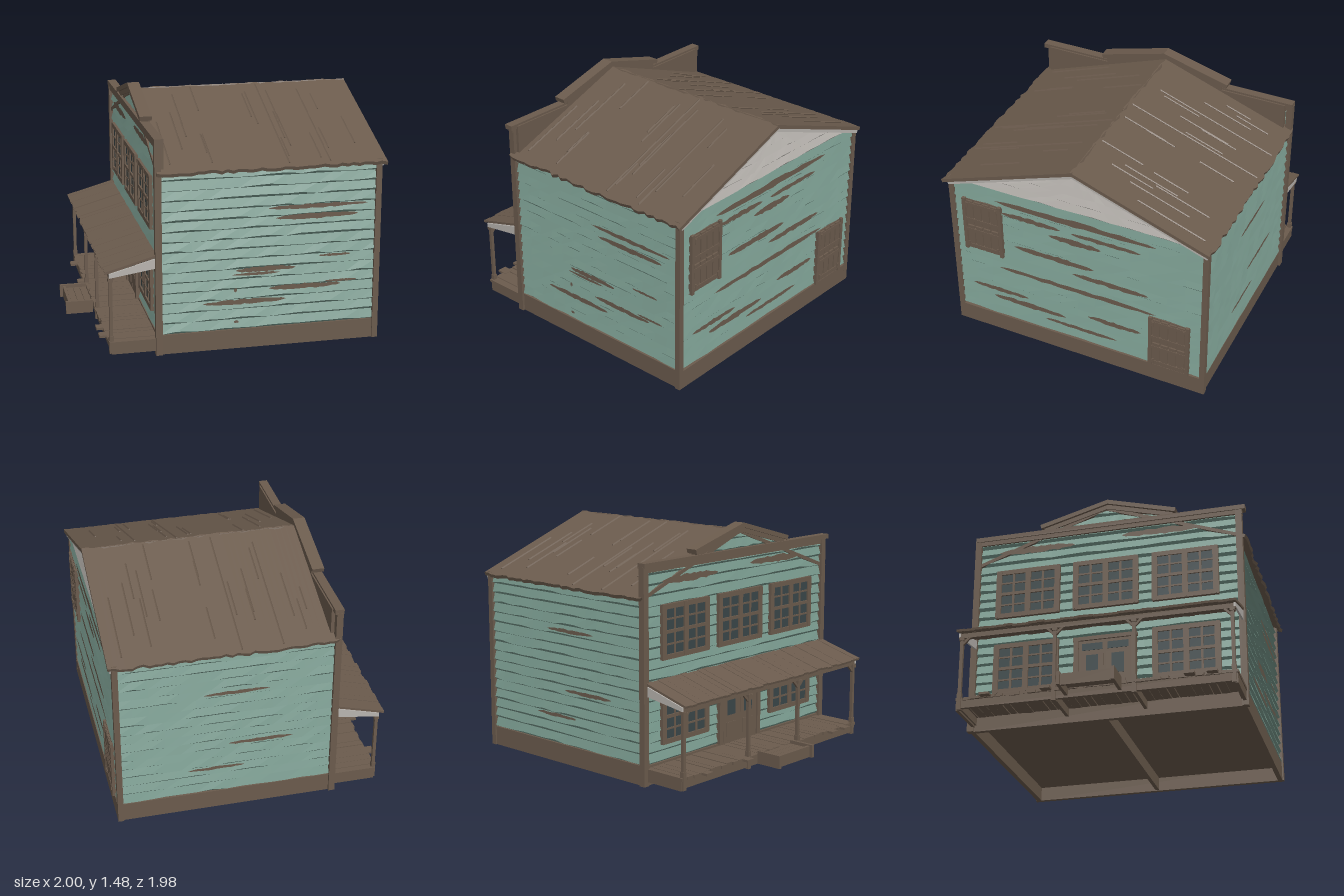
import * as THREE from 'three';

const paint = (name, color, side = THREE.FrontSide) =>
  Object.assign(new THREE.MeshStandardMaterial({ color, side }), { name });

export function createModel() {
  const teal = paint('teal paint', 0x799a8e, THREE.DoubleSide);
  const wood = paint('weathered wood', 0x6b5b4d, THREE.DoubleSide);
  const grey = paint('grey paint', 0xb8b4af, THREE.DoubleSide);
  const glass = paint('window glass', 0x3a4749);

  let seed = 7;
  const rnd = () => (seed = (seed * 16807) % 2147483647) / 2147483647;
  const range = (a, b) => a + (b - a) * rnd();

  const model = new THREE.Group();
  model.name = 'storefront';
  const house = new THREE.Group();
  house.name = 'house';
  house.rotation.y = 0.171;
  house.position.z = 0.012;
  model.add(house);

  const add = (parent, name, geo, mat) => {
    const m = new THREE.Mesh(geo, mat);
    m.name = name;
    parent.add(m);
    return m;
  };
  const box = (parent, name, mat, w, h, d, x, y, z) => {
    const m = add(parent, name, new THREE.BoxGeometry(w, h, d), mat);
    m.position.set(x, y, z);
    return m;
  };
  const group = (parent, name, x, y, z, ry = 0, rx = 0) => {
    const g = new THREE.Group();
    g.name = name;
    g.position.set(x, y, z);
    g.rotation.set(rx, ry, 0);
    parent.add(g);
    return g;
  };
  const shape = pts => new THREE.Shape(pts.map(p => new THREE.Vector2(...p)));

  // Lapped boards with a ragged, undercut lower lip; span(y) gives [x0, x1]
  const siding = (parent, name, mat, yStart, yEnd, span) => {
    const pos = [];
    const quad = (a, b, c, d) => pos.push(...a, ...b, ...c, ...a, ...c, ...d);
    const step = 0.0625, cols = 14;
    for (let y = yStart; y < yEnd - 0.01; y += step) {
      const top = Math.min(y + step, yEnd);
      const [b0, b1] = span(y), [t0, t1] = span(top);
      const low = Array.from({ length: cols + 1 }, () => y + range(0.006, 0.018));
      for (let i = 0; i < cols; i++) {
        const f = i / cols, g = (i + 1) / cols;
        const A = [b0 + (b1 - b0) * f, low[i], 0.017], B = [b0 + (b1 - b0) * g, low[i + 1], 0.017];
        const C = [t0 + (t1 - t0) * g, top, 0.001], D = [t0 + (t1 - t0) * f, top, 0.001];
        quad(A, B, C, D);
        quad([A[0], y, 0.001], [B[0], y, 0.001], B, A);
      }
    }
    const geo = new THREE.BufferGeometry();
    geo.setAttribute('position', new THREE.Float32BufferAttribute(pos, 3));
    geo.computeVertexNormals();
    return add(parent, name, geo, mat);
  };

  // Ragged patches where paint has peeled: [x0, x1, y, height]
  const peel = (parent, list) => list.forEach(([x0, x1, y, h]) => {
    const n = 18, pts = [];
    const at = (i, s) => {
      const f = i / n, r = Math.pow(Math.max(0, Math.sin(Math.PI * f)), 0.4);
      pts.push([x0 + (x1 - x0) * f, y + s * h * 0.5 * r * range(0.6, 1.1)]);
    };
    for (let i = 0; i <= n; i++) at(i, -1);
    for (let i = n - 1; i > 0; i--) at(i, 1);
    add(parent, 'peeledPaint', new THREE.ShapeGeometry(shape(pts)), wood).position.z = 0.0175;
  });

  // Wall core, floor and foundation
  box(house, 'wallCore', teal, 1.32, 1.0, 1.66, 0.16, 0.62, 0);
  box(house, 'floor', wood, 1.32, 0.02, 1.66, 0.16, 0.1, 0);
  box(house, 'floorBeam', wood, 1.3, 0.1, 0.025, 0.16, 0.055, 0);
  for (const s of [-1, 1]) {
    box(house, 'foundationSide', wood, 1.34, 0.12, 0.03, 0.16, 0.06, s * 0.83);
    box(house, 'foundationEnd', wood, 0.03, 0.12, 1.67, 0.16 + s * 0.665, 0.06, 0);
    box(house, 'rearCornerPost', wood, 0.035, 1.13, 0.035, 0.823, 0.565, s * 0.837);
    box(house, 'frontCornerPost', wood, 0.04, 1.3, 0.04, -0.513, 0.65, s * 0.84);
  }

  // Four walls, each with x along the wall and z outward
  const left = group(house, 'leftWall', 0, 0, 0.83);
  const right = group(house, 'rightWall', 0, 0, -0.83, Math.PI);
  const rear = group(house, 'gableWall', 0.82, 0, 0, Math.PI / 2);
  const front = group(house, 'facade', -0.505, 0, 0, -Math.PI / 2);
  siding(left, 'siding', teal, 0.12, 1.12, () => [-0.5, 0.82]);
  siding(right, 'siding', teal, 0.12, 1.12, () => [-0.82, 0.5]);
  siding(rear, 'siding', teal, 0.12, 1.12, () => [-0.83, 0.83]);
  siding(front, 'siding', teal, 0.12, 1.28, () => [-0.83, 0.83]);
  peel(left, [[0.14, 0.76, 0.862, 0.03], [0.19, 0.7, 0.8, 0.035], [-0.05, 0.32, 0.49, 0.035], [-0.07, 0.22, 0.465, 0.02],
    [0.15, 0.6, 0.365, 0.035], [-0.25, 0.26, 0.295, 0.035], [0.5, 0.7, 0.385, 0.018], [0.46, 0.66, 0.55, 0.018],
    [-0.06, -0.04, 0.37, 0.03], [-0.06, -0.03, 0.17, 0.02]]);
  peel(right, [[-0.3, 0.1, 0.84, 0.025], [-0.15, 0.25, 0.47, 0.03], [-0.4, -0.05, 0.3, 0.025]]);
  peel(rear, [[-0.54, 0.53, 1.045, 0.05], [-0.5, -0.1, 0.965, 0.04], [-0.03, 0.43, 0.965, 0.035], [-0.18, 0.17, 0.9, 0.045],
    [-0.42, 0.12, 0.73, 0.045], [-0.03, 0.48, 0.652, 0.04], [-0.54, 0.53, 0.525, 0.04], [-0.74, -0.34, 0.335, 0.035],
    [0.07, 0.43, 0.34, 0.04], [-0.59, -0.08, 0.275, 0.045], [-0.23, 0.27, 0.215, 0.03]]);
  peel(front, [[-0.7, -0.2, 1.2, 0.05], [0.1, 0.6, 1.22, 0.05]]);

  // Rear gable: solid core, grey boards and sloping trim
  const tri = shape([[-0.83, 1.1], [0.83, 1.1], [0, 1.41]]);
  const core = add(rear, 'gableCore', new THREE.ExtrudeGeometry(tri, { depth: 1.3, bevelEnabled: false }), grey);
  core.position.z = -1.3;
  siding(rear, 'gableBoards', grey, 1.12, 1.415, y => [-1, 1].map(s => s * 0.84 * Math.max(0, 1.42 - y) / 0.31));
  for (const s of [-1, 1])
    box(rear, 'gableTrim', grey, 0.91, 0.03, 0.014, s * 0.425, 1.253, 0.025).rotation.z = -s * 0.349;

  // Plank roof with jagged eaves and raised slivers
  for (const [name, ry, reach] of [['leftRoof', 0, 0.948], ['rightRoof', Math.PI, 0.938]]) {
    const slope = group(group(house, name, 0.17, 1.44, 0, ry), 'slope', 0, 0, 0, 0, 0.349);
    const n = 40, w = 1.385 / n;
    const eave = Array.from({ length: n + 1 }, () => reach - range(0, 0.022));
    const ridge = Array.from({ length: n + 1 }, () => range(-0.012, 0.003));
    for (let i = 0; i < n; i++) {
      const geo = new THREE.BoxGeometry(w, 0.022, 1), p = geo.attributes.position;
      for (let k = 0; k < p.count; k++)
        p.setZ(k, (p.getZ(k) > 0 ? eave : ridge)[p.getX(k) > 0 ? i + 1 : i]);
      add(slope, 'roofPlank', geo, wood).position.set(-0.6925 + w * (i + 0.5), -0.012, 0);
    }
    const sliver = (x, len, z) => box(slope, 'roofSliver', wood, 0.007, 0.01, len, x, 0, z).rotation.z = 0.6;
    for (const [x, z0, z1] of [[0.1, 0.02, 0.9], [-0.32, 0.02, 0.3], [0.35, 0.1, 0.9], [-0.6, 0.4, 0.85], [-0.5, 0.3, 0.7]])
      sliver(x, z1 - z0, (z0 + z1) / 2);
    for (let i = 0; i < 14; i++) {
      const len = range(0.15, 0.45), x = [-0.4, 0.22, 0.45, 0.05][i % 4] + range(-0.1, 0.1);
      sliver(x, len, range(len / 2 + 0.02, 0.88 - len / 2));
    }
  }

  // Stepped false front with a gabled centre
  const top = group(front, 'falseFront', 0.012, 0, 0);
  box(top, 'parapet', wood, 1.65, 0.24, 0.03, 0, 1.19, -0.016);
  box(top, 'cornice', wood, 1.74, 0.03, 0.055, 0, 1.308, 0.005);
  box(top, 'corniceBand', wood, 1.7, 0.03, 0.035, 0, 1.28, 0.008);
  const crest = shape([[-0.4, 1.28], [0.4, 1.28], [0.4, 1.345], [0, 1.455], [-0.4, 1.345]]);
  add(top, 'crest', new THREE.ExtrudeGeometry(crest, { depth: 0.03, bevelEnabled: false }), wood).position.z = -0.031;
  siding(top, 'crestBoards', teal, 1.32, 1.445, y => [-1, 1].map(s => s * Math.min(0.39, (1.455 - y) * 3.6)));
  for (const s of [-1, 1]) {
    box(top, 'crestCoping', wood, 0.455, 0.028, 0.075, s * 0.216, 1.405, 0.002).rotation.z = -s * 0.268;
    box(top, 'crestBand', wood, 0.43, 0.035, 0.045, s * 0.206, 1.382, 0.002).rotation.z = -s * 0.268;
  }

  // Facade windows: paired sashes with glazing bars
  const windowUnit = (x, y, w, h) => {
    const g = group(front, 'window', x, y, 0.016);
    box(g, 'glass', glass, w, h, 0.008, 0, 0, 0.003);
    for (const s of [-1, 0, 1]) box(g, 'upright', wood, 0.035, h + 0.02, 0.022, s * w / 2, 0, 0.006);
    for (const s of [-1, 0, 1]) box(g, 'rail', wood, w + 0.03, s ? 0.03 : 0.02, 0.02, 0, s * h / 2, 0.006);
    for (const s of [-1, 1]) {
      box(g, 'glazingBar', wood, 0.014, h, 0.014, s * w / 4, 0, 0.005);
      box(g, 'glazingBar', wood, w, 0.011, 0.014, 0, s * h / 4, 0.005);
    }
  };
  for (const x of [-0.5, 0, 0.5]) windowUnit(x, 0.9, 0.38, 0.3);
  for (const x of [-0.5, 0.5]) windowUnit(x, 0.39, 0.38, 0.3);

  // Double door
  const door = group(front, 'door', 0, 0.12, 0.016);
  box(door, 'doorFrame', wood, 0.36, 0.4, 0.016, 0, 0.2, 0);
  for (const s of [-1, 1]) {
    box(door, 'doorLeaf', wood, 0.145, 0.31, 0.008, s * 0.08, 0.16, 0.006);
    box(door, 'doorGlass', glass, 0.075, 0.13, 0.006, s * 0.08, 0.235, 0.009);
    box(door, 'doorPanel', wood, 0.1, 0.09, 0.008, s * 0.08, 0.08, 0.01);
    box(door, 'transom', glass, 0.13, 0.045, 0.006, s * 0.08, 0.355, 0.008);
    box(door, 'doorJamb', wood, 0.03, 0.41, 0.03, s * 0.18, 0.205, 0.004);
  }
  box(door, 'doorHead', wood, 0.4, 0.025, 0.03, 0, 0.41, 0.004);

  // Boarded openings on the gable wall
  for (const [x, y] of [[-0.63, 0.815], [0.617, 0.315]]) {
    const g = group(rear, 'boardedWindow', x, y, 0.016);
    box(g, 'backing', wood, 0.25, 0.38, 0.008, 0, 0, 0);
    for (const s of [-1, 1]) {
      box(g, 'sideTrim', wood, 0.022, 0.39, 0.026, s * 0.122, 0, 0.005);
      for (const t of [-1, 1]) {
        box(g, 'batten', wood, 0.225, 0.022, 0.022, 0, s * 0.1 + t * 0.06, 0.006);
        box(g, 'hinge', wood, 0.012, 0.035, 0.006, t * 0.1, s * 0.15, 0.019);
      }
      for (const t of [-1.5, -0.5, 0.5, 1.5]) box(g, 'plank', wood, 0.045, 0.175, 0.012, t * 0.055, s * 0.095, 0.008);
    }
  }

  // Porch, in facade coordinates: z runs out to the street
  const porch = group(front, 'porch', 0.008, 0, 0);
  const n = 34, w = 1.69 / n;
  for (let i = 0; i < n; i++) {
    const x = -0.845 + w * (i + 0.5), out = range(0.285, 0.3);
    box(porch, 'deckPlank', wood, w - (i % 5 ? 0.001 : 0.009), 0.018, out, x, 0.098 + range(-0.002, 0.002), out / 2 + 0.01);
    const len = range(0.315, 0.328);
    const p = box(porch, 'porchRoofPlank', wood, w, 0.014, len, x, 0.574 + range(-0.003, 0.003), len / 2 + 0.01);
    p.rotation.x = 0.27;
  }
  box(porch, 'deckBeam', wood, 1.66, 0.05, 0.02, 0, 0.066, 0.285);
  box(porch, 'roofBeam', wood, 1.68, 0.03, 0.025, 0, 0.507, 0.285);
  const end = shape([[0, 0.545], [0.3, 0.5], [0.3, 0.525], [0, 0.608]]);
  for (const s of [-1, 1]) {
    box(porch, 'deckEnd', wood, 0.02, 0.065, 0.285, s * 0.83, 0.06, 0.15);
    const m = add(porch, 'porchRoofEnd', new THREE.ExtrudeGeometry(end, { depth: 0.012, bevelEnabled: false }), grey);
    m.rotation.y = -Math.PI / 2;
    m.position.x = s * 0.835 + 0.006;
  }
  for (const x of [-0.82, -0.24, 0.24, 0.82]) {
    box(porch, 'porchPost', wood, 0.02, 0.37, 0.02, x, 0.315, 0.29);
    box(porch, 'postBase', wood, 0.026, 0.11, 0.026, x, 0.085, 0.29);
    box(porch, 'postCap', wood, 0.03, 0.02, 0.03, x, 0.485, 0.29);
    box(porch, 'joist', wood, 0.02, 0.05, 0.28, x, 0.065, 0.15);
    for (const s of [-1, 1]) if (Math.abs(x + s * 0.04) < 0.83)
      box(porch, 'brace', wood, 0.065, 0.014, 0.014, x + s * 0.027, 0.475, 0.29).rotation.z = s * 0.8;
  }
  for (const x of [-0.65, -0.28, 0.57, 0.7])
    box(porch, 'looseBoard', wood, 0.06, 0.014, 0.07, x, 0.1, 0.312);

  // Entry step hung off the deck
  const step = group(porch, 'step', 0, 0, 0.31);
  box(step, 'stepFront', wood, 0.33, 0.07, 0.018, 0, 0.085, 0.14);
  for (const s of [-1, 1]) box(step, 'stepSide', wood, 0.02, 0.08, 0.17, s * 0.16, 0.088, 0.082);
  for (const z of [0.02, 0.063, 0.106]) box(step, 'tread', wood, 0.3, 0.014, 0.041, 0, 0.1, z);
  return model;
}
